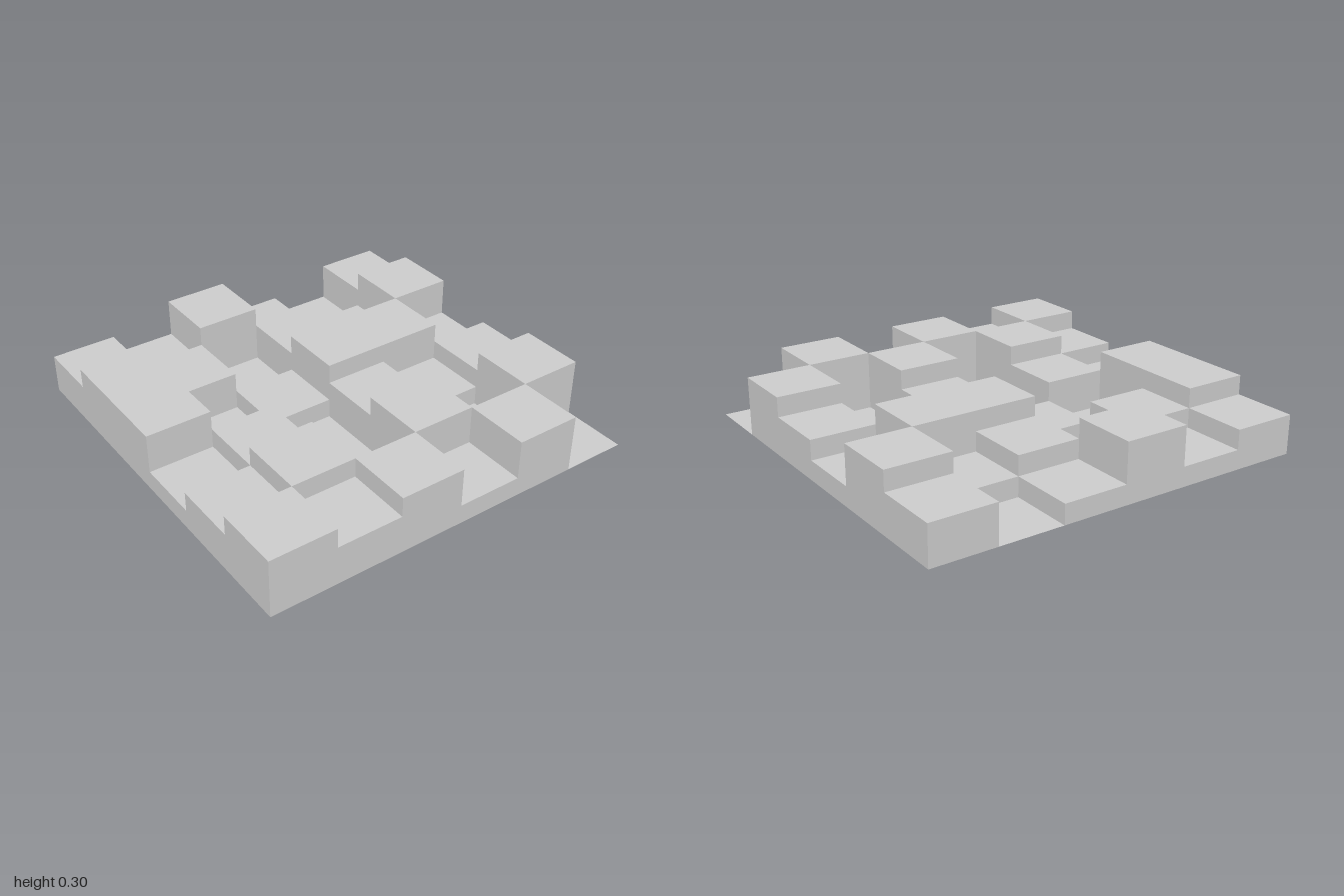
import * as THREE from 'three';
import { mergeGeometries } from 'three/addons/utils/BufferGeometryUtils.js';

const N = 6;
const CELL = 2 / N;
const STEP = 0.1;

// Height steps of each square: rows run front to back, columns left to right in x
const LEVELS = [
  [3, 2, 3, 1, 3, 0],
  [2, 3, 0, 3, 0, 3],
  [1, 2, 0, 2, 1, 2],
  [3, 0, 1, 3, 3, 1],
  [3, 2, 0, 2, 1, 3],
  [2, 1, 3, 1, 0, 2],
];

// Height at a square; outside the grid it is the ground
const level = (col, row) => LEVELS[row]?.[col] ?? 0;

// Flat square top of one cell
function topFace(col, row) {
  return new THREE.PlaneGeometry(CELL, CELL)
    .rotateX(-Math.PI / 2)
    .translate(-1 + (col + 0.5) * CELL, level(col, row) * STEP, 1 - (row + 0.5) * CELL);
}

// Upright wall between a cell and its neighbour, facing the lower one
function wall(col, row, dCol, dRow) {
  const high = level(col, row);
  const low = level(col + dCol, row + dRow);
  if (high <= low) return null;
  return new THREE.PlaneGeometry(CELL, (high - low) * STEP)
    .rotateY(Math.atan2(dCol, -dRow))
    .translate(
      -1 + (col + 0.5 + dCol / 2) * CELL,
      ((high + low) / 2) * STEP,
      1 - (row + 0.5 + dRow / 2) * CELL
    );
}

export function createModel() {
  const group = new THREE.Group();
  group.name = 'steppedTerrain';
  const material = new THREE.MeshStandardMaterial({
    color: 0xcccccc,
    flatShading: true,
    side: THREE.DoubleSide,
  });

  const tops = [];
  const walls = [];
  for (let row = 0; row < N; row++) {
    for (let col = 0; col < N; col++) {
      tops.push(topFace(col, row));
      for (const [dCol, dRow] of [[1, 0], [-1, 0], [0, 1], [0, -1]]) {
        const face = wall(col, row, dCol, dRow);
        if (face) walls.push(face);
      }
    }
  }

  // The shell is open underneath
  for (const [name, parts] of [['terrainTops', tops], ['terrainWalls', walls]]) {
    const mesh = new THREE.Mesh(mergeGeometries(parts), material);
    mesh.name = name;
    group.add(mesh);
  }
  return group;
}
